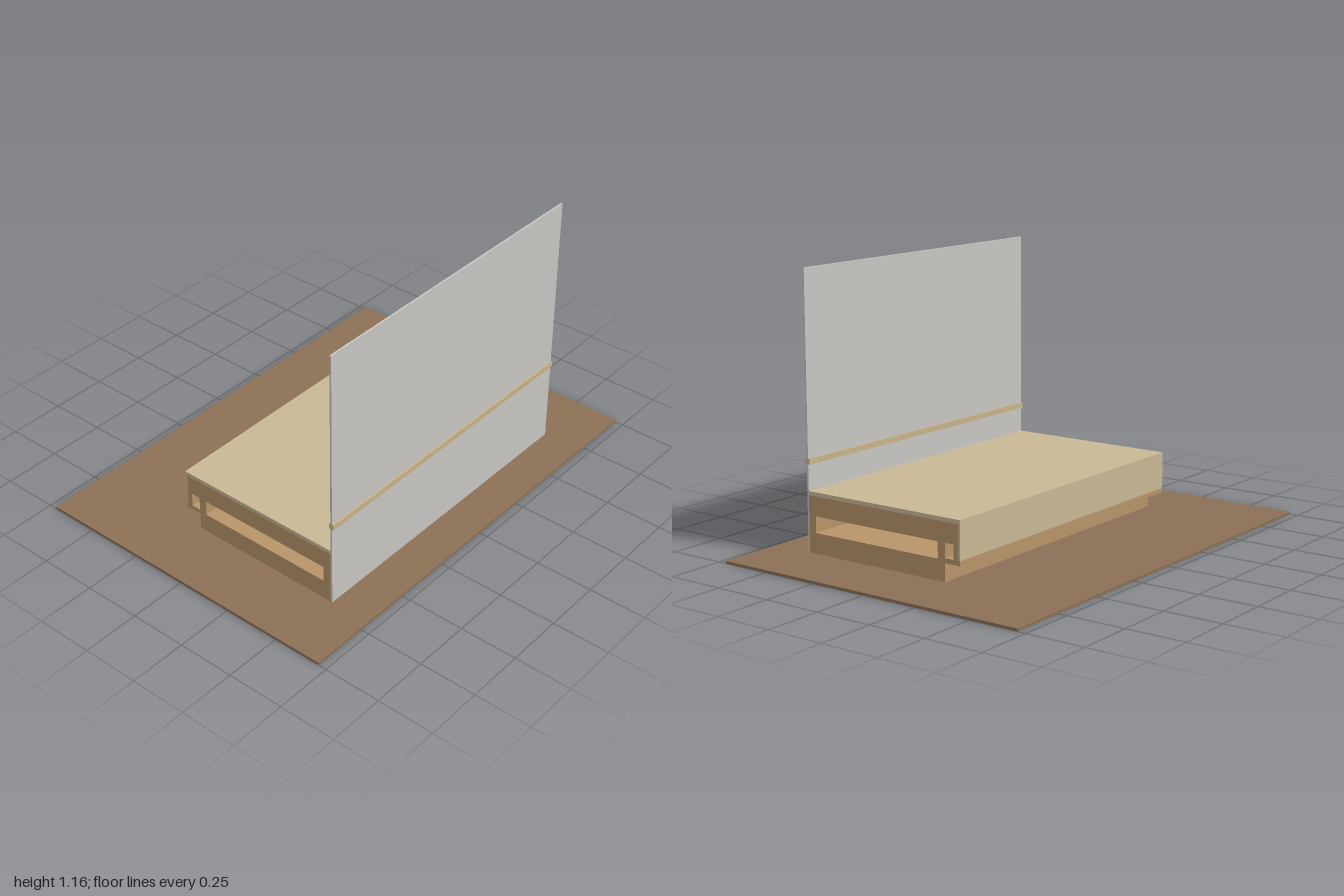
import * as THREE from 'three';

const paint = (name, color) => {
  const m = new THREE.MeshStandardMaterial({ color });
  m.name = name;
  return m;
};

export function createModel() {
  const group = new THREE.Group();
  const floorBrown = paint('floor brown', 0x8b7056);
  const wood = paint('wood', 0xb8956a);
  const cream = paint('cream top', 0xc8b896);
  const trim = paint('trim tan', 0xc8b48a);
  const grey = paint('panel grey', 0xc9c7c3);

  // Box given by its width across x and its ranges in y and z
  const slab = (name, material, width, y0, y1, z0, z1) => {
    const mesh = new THREE.Mesh(new THREE.BoxGeometry(width, y1 - y0, z1 - z0), material);
    mesh.position.set(0, (y0 + y1) / 2, (z0 + z1) / 2);
    mesh.name = name;
    group.add(mesh);
  };
  const W = 1.426;

  slab('floor', floorBrown, 2, 0, 0.011, -0.714, 0.714);
  slab('standingPanel', grey, W, 0.011, 1.157, 0.529, 0.537);
  slab('panelRail', trim, W, 0.372, 0.396, 0.522, 0.545);
  slab('counterTop', cream, W, 0.247, 0.264, -0.236, 0.529);
  slab('rearFascia', cream, W, 0.105, 0.247, -0.236, -0.226);
  slab('fasciaSill', wood, W, 0.085, 0.105, -0.236, -0.163);

  // Counter body: side profile (u = -z, v = y) run across the full width
  const rect = (Type, u0, u1, v0, v1) => new Type([
    new THREE.Vector2(u0, v0), new THREE.Vector2(u1, v0),
    new THREE.Vector2(u1, v1), new THREE.Vector2(u0, v1),
  ]);
  const profile = new THREE.Shape([
    [-0.529, 0.011], [0.163, 0.011], [0.163, 0.165], [0.205, 0.165],
    [0.205, 0.105], [0.226, 0.105], [0.226, 0.247], [-0.529, 0.247],
  ].map(([u, v]) => new THREE.Vector2(u, v)));
  profile.holes.push(rect(THREE.Path, -0.494, 0.128, 0.097, 0.165)); // open shelf slot
  const geometry = new THREE.ExtrudeGeometry(profile, { depth: W, bevelEnabled: false });
  geometry.translate(0, 0, -W / 2);
  geometry.rotateY(Math.PI / 2);
  const body = new THREE.Mesh(geometry, wood);
  body.name = 'counterBody';
  group.add(body);

  return group;
}
